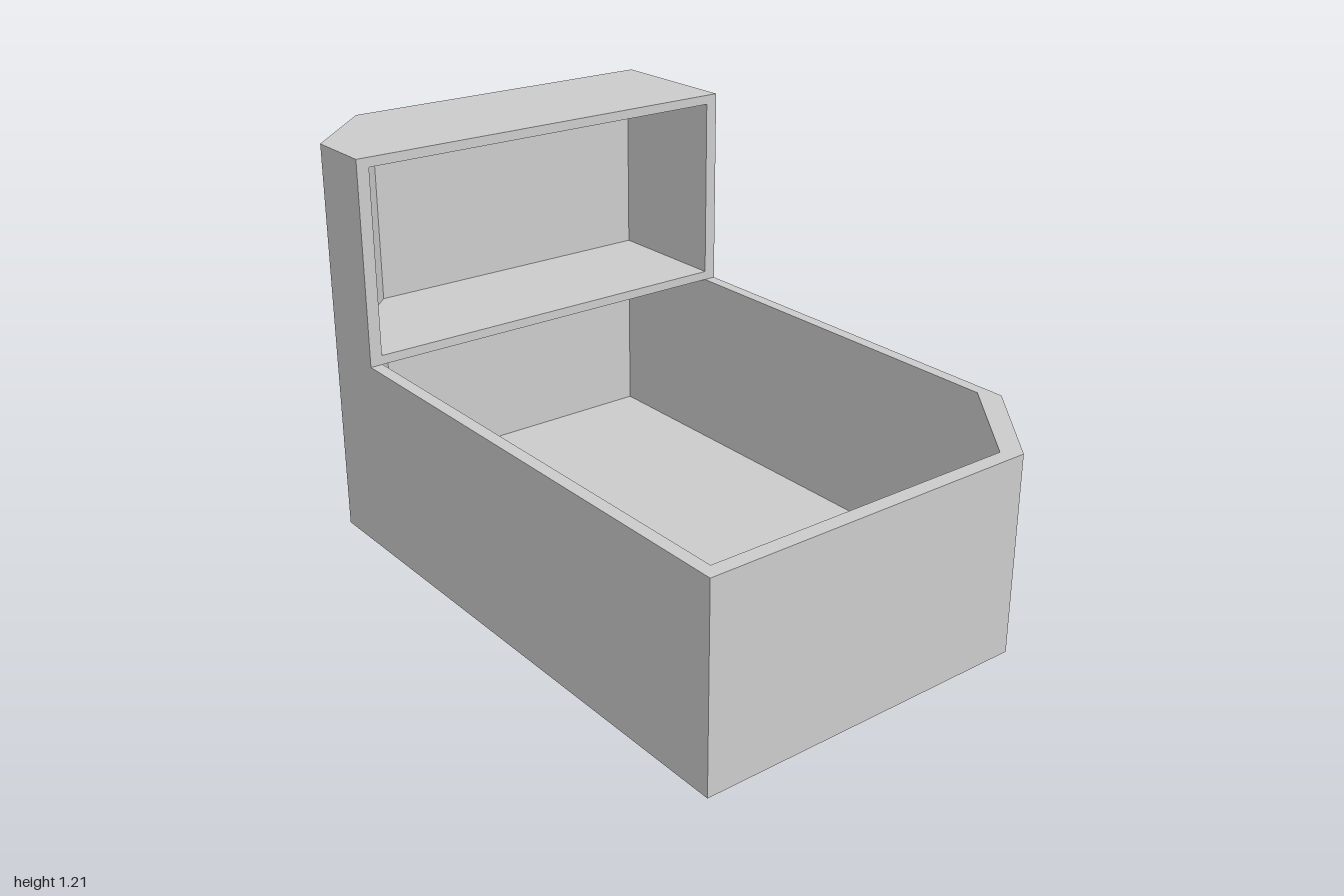
import * as THREE from 'three';

const material = new THREE.MeshStandardMaterial({ color: 0xcccccc, flatShading: true });

// Plan outlines as [x, z] points
const X = 0.643, IX = 0.605, SPLIT = -0.548;
const backOuter = [[X, -1], [-0.4, -1], [-X, -0.76]];
const backInner = [[IX, -0.97], [-0.365, -0.97], [-IX, -0.73]];
const frontOuter = [[-X, 1], [0.4, 1], [X, 0.71]];
const frontInner = [[-IX, 0.955], [0.36, 0.955], [IX, 0.655]];

const toPoints = (list) => list.map(([x, z]) => new THREE.Vector2(x, -z));

// Raises a plan outline, with an optional hole, from y0 to y1
function slab(name, outline, y0, y1, hole) {
  const shape = new THREE.Shape(toPoints(outline));
  if (hole) shape.holes.push(new THREE.Path(toPoints(hole)));
  const geometry = new THREE.ExtrudeGeometry(shape, { depth: y1 - y0, bevelEnabled: false });
  geometry.rotateX(-Math.PI / 2);
  geometry.translate(0, y0, 0);
  const mesh = new THREE.Mesh(geometry, material);
  mesh.name = name;
  return mesh;
}

export function createModel() {
  const group = new THREE.Group();
  group.name = 'storageBin';

  const fullOuter = [...backOuter, ...frontOuter];
  const fullInner = [...backInner, ...frontInner];
  const rearBlock = [...backOuter, [-X, SPLIT], [X, SPLIT]];
  // U-shaped wall, open towards the front
  const rearWall = [
    [X, SPLIT], ...backOuter, [-X, SPLIT],
    [-IX, SPLIT], ...[...backInner].reverse(), [IX, SPLIT],
  ];

  // Lower tray, running back under the shelf
  group.add(slab('trayFloor', fullOuter, 0, 0.025));
  group.add(slab('trayWalls', fullOuter, 0.025, 0.592, fullInner));

  // Upper compartment
  group.add(slab('shelf', rearBlock, 0.592, 0.62));
  group.add(slab('compartmentWalls', rearWall, 0.62, 1.183));
  group.add(slab('roof', rearBlock, 1.183, 1.212));

  return group;
}
